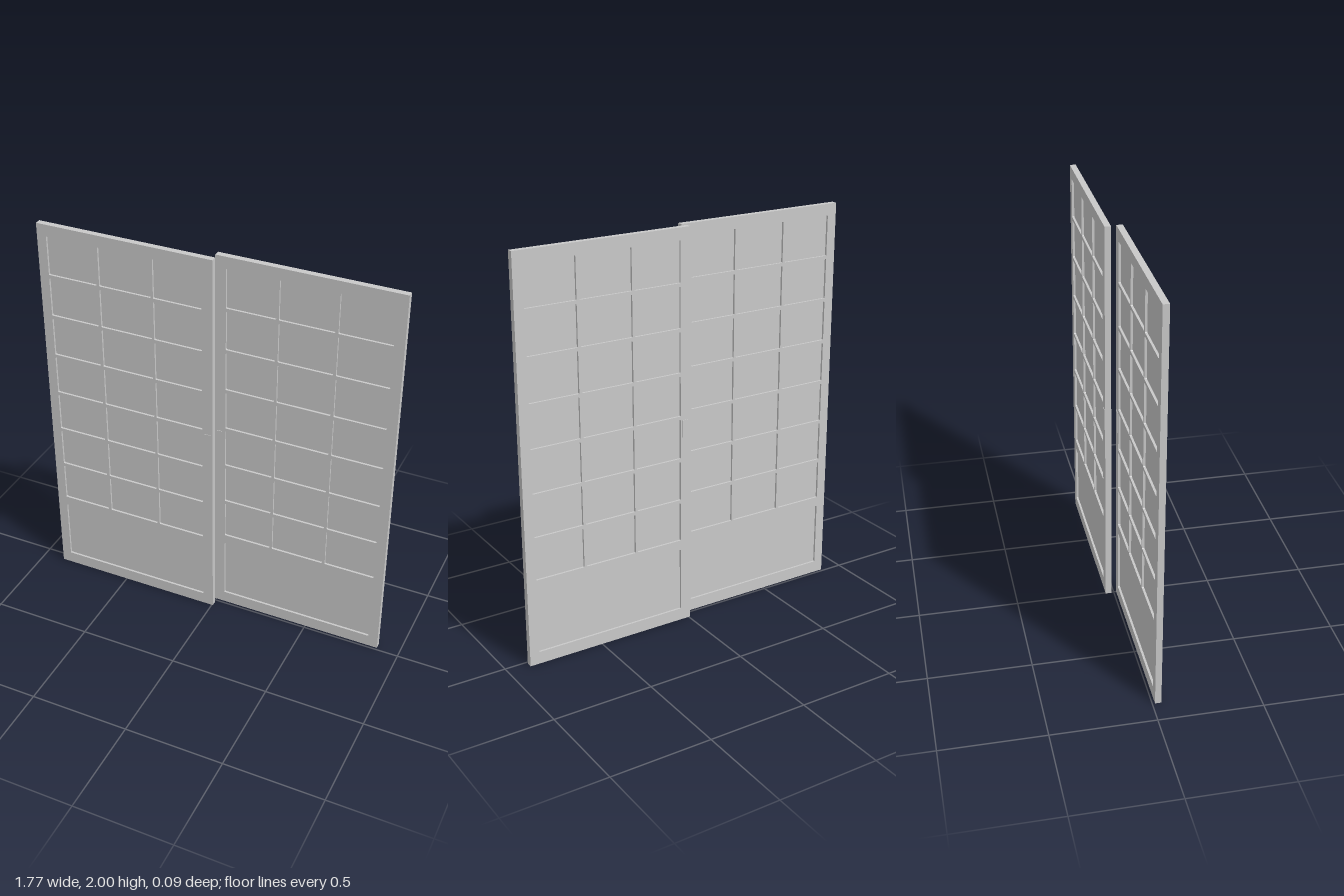
import * as THREE from 'three';

const HEIGHT = 2, THICK = 0.03, OUTER = -0.8875, INNER = 0.006;
const COLUMNS = [[-0.839, -0.585], [-0.571, -0.304], [-0.292, -0.047]];

// Rectangular opening with slightly rounded corners
function opening(x0, x1, y0, y1, r = 0.005) {
  const p = new THREE.Path();
  p.moveTo(x0 + r, y0);
  p.lineTo(x1 - r, y0);
  p.quadraticCurveTo(x1, y0, x1, y0 + r);
  p.lineTo(x1, y1 - r);
  p.quadraticCurveTo(x1, y1, x1 - r, y1);
  p.lineTo(x0 + r, y1);
  p.quadraticCurveTo(x0, y1, x0, y1 - r);
  p.lineTo(x0, y0 + r);
  p.quadraticCurveTo(x0, y0, x0 + r, y0);
  return p;
}

function box(name, x0, x1, y0, y1, depth, z, material) {
  const mesh = new THREE.Mesh(new THREE.BoxGeometry(x1 - x0, y1 - y0, depth), material);
  mesh.name = name;
  mesh.position.set((x0 + x1) / 2, (y0 + y1) / 2, z);
  return mesh;
}

// One sliding door, centred on z = 0
function createDoor(name, material) {
  const door = new THREE.Group();
  door.name = name;

  // Frame and glazing bars: a slab pierced by the openings
  const shape = new THREE.Shape();
  shape.moveTo(OUTER, 0);
  shape.lineTo(INNER, 0);
  shape.lineTo(INNER, HEIGHT);
  shape.lineTo(OUTER, HEIGHT);
  shape.closePath();
  for (let row = 0; row < 7; row++) {
    const top = 1.942 - row * 0.217;
    for (const [x0, x1] of COLUMNS) shape.holes.push(opening(x0, x1, top - 0.2, top));
  }
  shape.holes.push(opening(-0.839, -0.047, 0.062, 0.39));
  const geometry = new THREE.ExtrudeGeometry(shape, { depth: THICK, bevelEnabled: false, curveSegments: 3 });
  geometry.translate(0, 0, -THICK / 2);
  const frame = new THREE.Mesh(geometry, material);
  frame.name = 'frame';
  door.add(frame);

  // Recessed panes and solid lower panel
  door.add(box('panes', -0.85, -0.04, 0.435, 1.95, 0.008, 0, material));
  door.add(box('lowerPanel', -0.85, -0.04, 0.05, 0.4, 0.008, 0, material));

  // Thin pull plates near the meeting edge, on both faces
  for (const side of [-1, 1]) {
    door.add(box('pullPlate', -0.036, -0.004, 0.96, 1.07, 0.005, side * (THICK / 2), material));
  }
  return door;
}

export function createModel() {
  const grey = new THREE.MeshStandardMaterial({ color: 0xc8c8c8 });
  grey.name = 'light grey';
  const model = new THREE.Group();
  model.name = 'slidingDoors';

  // The doors run on separate tracks and overlap at the middle
  const right = createDoor('rightDoor', grey);
  right.position.z = 0.028;
  const left = createDoor('leftDoor', grey);
  left.rotation.y = Math.PI;
  left.position.z = -0.028;
  model.add(right, left);
  return model;
}
